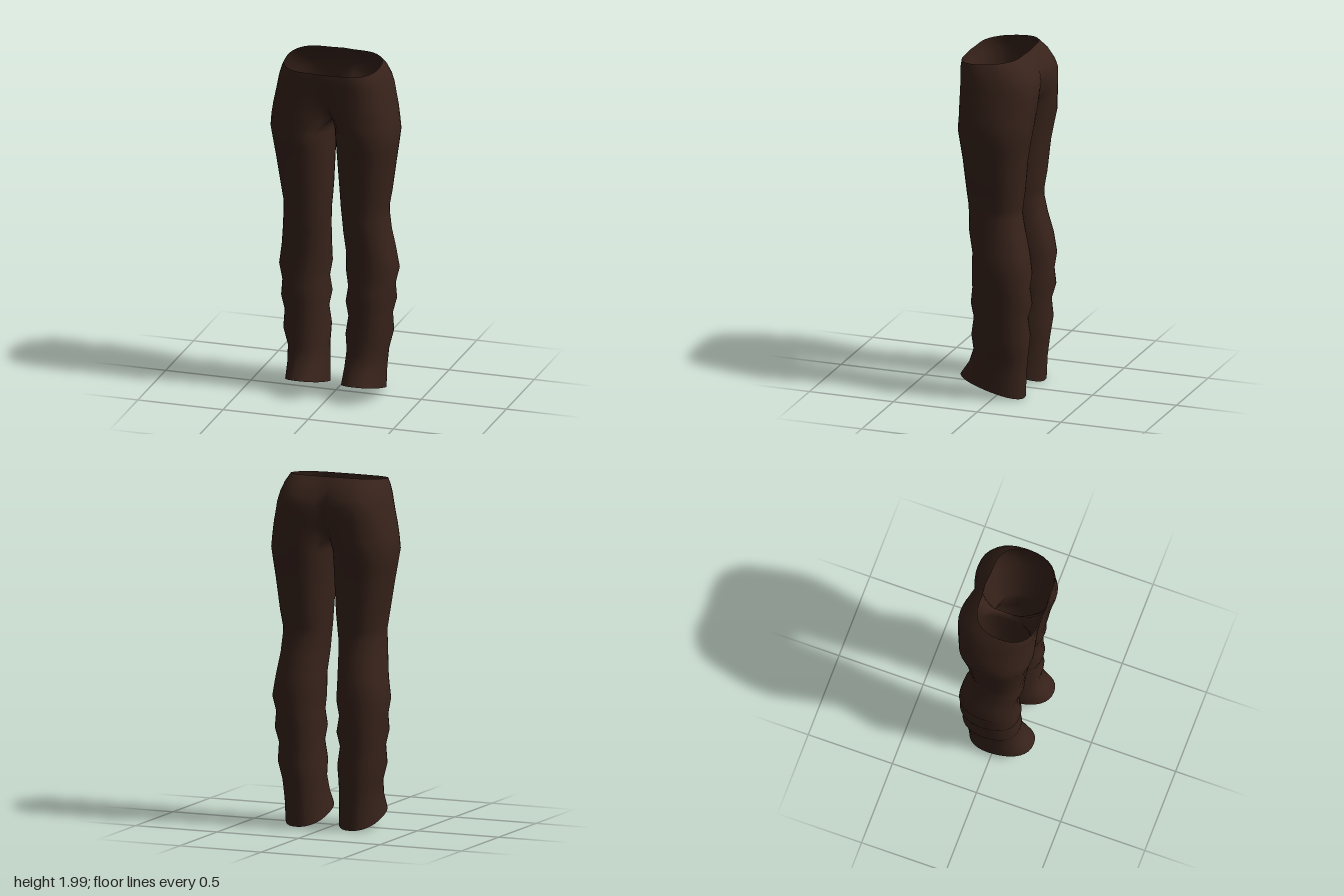
import * as THREE from 'three';
import { mergeVertices } from 'three/addons/utils/BufferGeometryUtils.js';

const N = 32;          // points around a leg
const SEAM = 24;       // points 0..SEAM run front seam -> outside -> back seam; the rest are the inner leg
const POW = 2 / 2.3;   // roundness of the cross-sections

// Hip sections: height, half width, front z, back z, front seam z, back seam z, tilt
const HIPS = [
  [1.985, 0.275, 0.222, -0.122, 0.23, -0.13, -0.11],
  [1.94, 0.296, 0.225, -0.175, 0.23, -0.165, -0.06],
  [1.89, 0.313, 0.223, -0.212, 0.222, -0.188, 0],
  [1.84, 0.325, 0.22, -0.227, 0.21, -0.193, 0],
  [1.78, 0.337, 0.22, -0.224, 0.185, -0.18, 0],
  [1.72, 0.35, 0.22, -0.22, 0.145, -0.155, 0],
  [1.65, 0.361, 0.22, -0.214, 0.07, -0.09, 0],
];

// Leg sections: height, inner x, outer x, front z, back z, tilt
const LEGS = [
  [1.58, 0.012, 0.366, 0.217, -0.205, 0],
  [1.5, 0.016, 0.355, 0.205, -0.19, 0],
  [1.4, 0.02, 0.34, 0.19, -0.173, 0],
  [1.22, 0.03, 0.314, 0.172, -0.157, 0],
  [1.13, 0.036, 0.299, 0.162, -0.143, 0],
  [1.08, 0.041, 0.3, 0.159, -0.14, 0],
  [0.98, 0.048, 0.306, 0.156, -0.16, 0],
  [0.86, 0.055, 0.322, 0.132, -0.19, 0],
  [0.74, 0.053, 0.34, 0.13, -0.206, 0],
  [0.65, 0.068, 0.318, 0.132, -0.194, 0],
  [0.56, 0.054, 0.325, 0.141, -0.205, 0],
  [0.475, 0.07, 0.304, 0.126, -0.18, 0],
  [0.37, 0.055, 0.31, 0.141, -0.192, 0],
  [0.27, 0.062, 0.283, 0.134, -0.178, 0.06],
  [0.17, 0.057, 0.277, 0.162, -0.165, 0.16],
  [0.055, 0.05, 0.278, 0.215, -0.16, 0.29],
];

const curve = (v) => Math.sign(v) * Math.abs(v) ** POW;
const angle = (j) => -Math.PI / 4 + (j / N) * Math.PI * 2;

// Half of a hip section; past the front and back lobes it bends in to the centre seam
function hipPoint([y, w, zf, zb, seamF, seamB, tilt], j) {
  const a = angle(j), cx = 0.43 * w, mid = (zf + zb) / 2, half = (zf - zb) / 2;
  let x, z;
  if (j > SEAM) {
    // crotch strip under the body
    x = 0;
    z = THREE.MathUtils.lerp(seamB, seamF, (j - SEAM) / (N - SEAM));
  } else if (a >= 0 && a <= Math.PI) {
    x = cx + (w - cx) * curve(Math.sin(a));
    z = mid + half * curve(Math.cos(a));
  } else {
    const t = (a < 0 ? -a : a - Math.PI) / (Math.PI / 4);
    x = cx * (1 - t);
    z = a < 0 ? zf + (seamF - zf) * t * t : zb + (seamB - zb) * t * t;
  }
  if (Math.abs(x) < 1e-6) x = 0;
  return [x, y + tilt * z, z];
}

// Closed leg section
function legPoint([y, xi, xo, zf, zb, tilt], j) {
  const a = angle(j % N);
  const x = (xi + xo) / 2 + ((xo - xi) / 2) * curve(Math.sin(a));
  const z = (zf + zb) / 2 + ((zf - zb) / 2) * curve(Math.cos(a));
  return [x, y + tilt * z, z];
}

function trouserGeometry() {
  const pos = [], index = [];
  const rows = HIPS.length + LEGS.length;
  for (const side of [1, -1]) {
    const base = pos.length / 3;
    for (let i = 0; i < rows; i++) {
      const isHip = i < HIPS.length;
      // the legs stand slightly toward the left of centre
      const shift = isHip ? 0 : 0.008 * Math.min(1, (i - HIPS.length + 1) / 4);
      for (let j = 0; j <= N; j++) {
        const [x, y, z] = isHip ? hipPoint(HIPS[i], j) : legPoint(LEGS[i - HIPS.length], j);
        pos.push(side * x + shift, y, z);
      }
    }
    for (let i = 0; i < rows - 1; i++) {
      const count = i < HIPS.length - 1 ? SEAM : N;
      for (let j = 0; j < count; j++) {
        const up = base + i * (N + 1) + j, low = up + N + 1;
        if (side > 0) index.push(low, low + 1, up, up, low + 1, up + 1);
        else index.push(low, up, low + 1, up, up + 1, low + 1);
      }
    }
  }
  const geo = new THREE.BufferGeometry();
  geo.setAttribute('position', new THREE.Float32BufferAttribute(pos, 3));
  geo.setIndex(index);
  // weld the centre seam and the inner leg joins so shading stays smooth
  const welded = mergeVertices(geo, 1e-5);
  welded.computeVertexNormals();
  return welded;
}

export function createModel() {
  const group = new THREE.Group();
  group.name = 'trousers';
  const cloth = new THREE.MeshStandardMaterial({ color: 0x38231b, side: THREE.DoubleSide });
  const mesh = new THREE.Mesh(trouserGeometry(), cloth);
  mesh.name = 'trouserCloth';
  group.add(mesh);
  return group;
}
